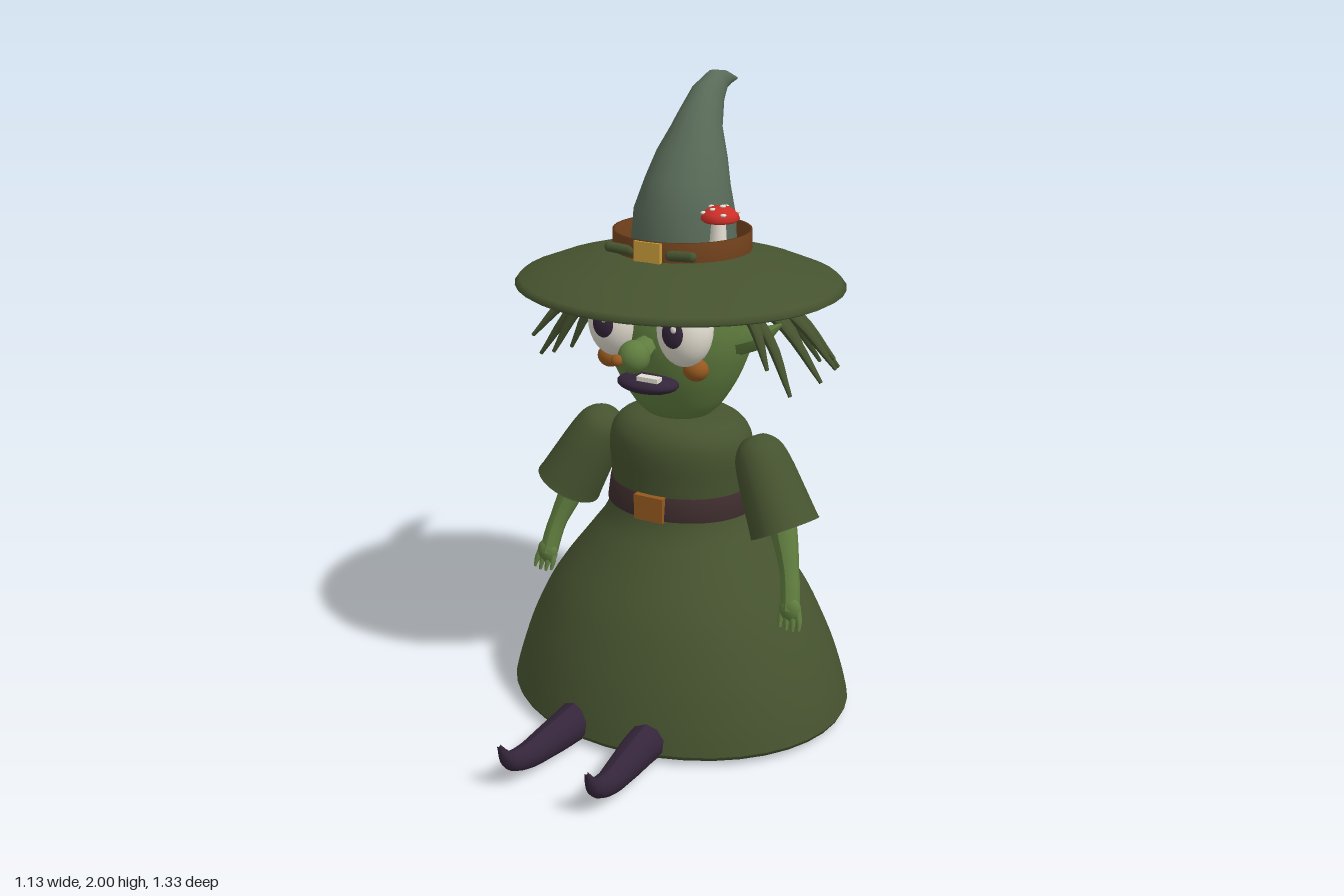
import * as THREE from 'three';

const mat = (name, color, side = THREE.FrontSide) => {
  const m = new THREE.MeshStandardMaterial({ color, side });
  m.name = name;
  return m;
};
const V = (x, y, z) => new THREE.Vector3(x, y, z);

// Lathe from [radius, height] pairs, listed from the bottom up
function lathe(profile, seg = 40, smooth = false) {
  let pts = profile.map(([r, y]) => new THREE.Vector2(r, y));
  if (smooth) pts = new THREE.SplineCurve(pts).getPoints(profile.length * 4);
  pts.forEach(p => { p.x = Math.max(p.x, 0); });
  return new THREE.LatheGeometry(pts, seg);
}

// Tube along a curve whose radius follows a list of values
function taper(points, radii, rows = 10, seg = 8) {
  const curve = new THREE.CatmullRomCurve3(points.map(p => V(...p)));
  const g = new THREE.TubeGeometry(curve, rows, 1, seg);
  const pos = g.attributes.position, v = V(0, 0, 0);
  for (let i = 0; i <= rows; i++) {
    const c = curve.getPointAt(i / rows);
    const t = (i / rows) * (radii.length - 1), k = Math.min(Math.floor(t), radii.length - 2);
    const r = THREE.MathUtils.lerp(radii[k], radii[k + 1], t - k);
    for (let j = 0; j <= seg; j++) {
      const n = i * (seg + 1) + j;
      v.fromBufferAttribute(pos, n).sub(c).multiplyScalar(r).add(c);
      pos.setXYZ(n, v.x, v.y, v.z);
    }
  }
  g.computeVertexNormals();
  return g;
}

// Loft through rings [front z, front y, back z, back y, half width]
function loft(rings, seg) {
  const pos = [], idx = [];
  rings.forEach(([fz, fy, bz, by, rx], i) => {
    for (let j = 0; j < seg; j++) {
      const a = j / seg * Math.PI * 2, s = Math.sin(a) / 2;
      pos.push(rx * Math.cos(a), (fy + by) / 2 + (by - fy) * s, (fz + bz) / 2 + (bz - fz) * s);
      if (i === rings.length - 1) continue;
      const p = i * seg + j, q = i * seg + (j + 1) % seg;
      idx.push(p, q, p + seg, q, q + seg, p + seg);
    }
  });
  const g = new THREE.BufferGeometry();
  g.setAttribute('position', new THREE.Float32BufferAttribute(pos, 3));
  g.setIndex(idx);
  g.computeVertexNormals();
  return g;
}

export function createModel() {
  const robe = mat('robeGreen', 0x46532f, THREE.DoubleSide);
  const skin = mat('skinGreen', 0x607d3f);
  const hatGrey = mat('hatGreyGreen', 0x586a58);
  const purple = mat('darkPurple', 0x34253a);
  const beltDark = mat('beltDark', 0x3f2d2e);
  const brown = mat('bandBrown', 0x74431d, THREE.DoubleSide);
  const amber = mat('amberBrown', 0x95581f);
  const gold = mat('gold', 0xc79a38);
  const red = mat('capRed', 0xcc2f28);
  const cream = mat('cream', 0xe2ddd0);

  const root = new THREE.Group();
  root.name = 'witch';
  const add = (name, geo, m, p = [0, 0, 0], s = [1, 1, 1], parent = root) => {
    const mesh = new THREE.Mesh(geo, m);
    mesh.name = name;
    mesh.position.set(...p);
    mesh.scale.set(...s);
    parent.add(mesh);
    return mesh;
  };
  const ball = new THREE.SphereGeometry(1, 24, 16);
  const box = new THREE.BoxGeometry(1, 1, 1);

  // Dress and belt
  add('dress', lathe([[0.485, 0.03], [0.465, 0.12], [0.425, 0.25], [0.36, 0.4], [0.265, 0.55], [0.215, 0.63],
    [0.193, 0.7], [0.195, 0.78], [0.2, 0.87], [0.187, 0.93], [0.145, 0.97], [0.06, 0.985], [0, 0.985]], 40, true),
    robe, [0, 0, -0.175], [1.165, 1, 1]);
  add('hem', lathe([[0, 0.012], [0.46, 0.012], [0.48, 0.018], [0.485, 0.031]], 40), robe, [0, 0, -0.175], [1.165, 1, 1]);
  add('belt', lathe([[0.19, 0.675], [0.206, 0.677], [0.198, 0.75], [0.185, 0.752]]), beltDark, [0, 0, -0.175], [1.165, 1, 1]);
  add('beltBuckle', box, amber, [0, 0.713, 0.02], [0.1, 0.08, 0.035]);

  // Head and face
  add('head', lathe([[0, 0.95], [0.075, 0.965], [0.13, 1.005], [0.175, 1.07], [0.21, 1.14], [0.235, 1.22],
    [0.24, 1.3], [0.222, 1.38], [0.17, 1.44], [0, 1.48]], 32, true), skin, [0, 0, -0.155], [1, 1, 0.87]);
  add('noseBridge', taper([[0, 1.25, 0], [0, 1.235, 0.07], [0, 1.225, 0.12]], [0.035, 0.035, 0.045]), skin);
  add('noseTip', ball, skin, [0, 1.225, 0.118], [0.048, 0.05, 0.048]);
  add('wart', ball, amber, [-0.03, 1.222, 0.165], [0.018, 0.018, 0.018]);
  add('mouth', ball, purple, [0, 1.122, 0.035], [0.1, 0.03, 0.068]);
  add('tooth', box, cream, [0.025, 1.148, 0.072], [0.07, 0.014, 0.03]);

  for (const s of [-1, 1]) {
    add('eye', ball, cream, [s * 0.118, 1.3, 0.022], [0.085, 0.112, 0.08]);
    add('pupil', ball, purple, [s * 0.117, 1.305, 0.098], [0.034, 0.043, 0.014]);
    add('eyeGlint', ball, cream, [s * 0.117 + 0.009, 1.322, 0.109], [0.009, 0.011, 0.005]);
    add('cheek', ball, amber, [s * 0.147, 1.178, 0.008], [0.04, 0.035, 0.034]);
    add('ear', taper([[s * 0.2, 1.23, -0.13], [s * 0.28, 1.26, -0.13], [s * 0.355, 1.31, -0.14]],
      [0.04, 0.034, 0.003]), skin);

    // Sleeve: a rounded shoulder flaring to an open cuff
    const sleeve = add('sleeve', lathe([[0.108, 0], [0.105, 0.02], [0.097, 0.1], [0.086, 0.2], [0.07, 0.26],
      [0.035, 0.295], [0, 0.3]], 24, true), robe, [s * 0.39, 0.67, -0.125], [1, 1, 1.1]);
    sleeve.rotation.set(-0.17, 0, s * 0.47);

    // Arm and fingers
    add('arm', taper([[s * 0.34, 0.76, -0.16], [s * 0.385, 0.64, -0.135], [s * 0.425, 0.52, -0.095],
      [s * 0.44, 0.43, -0.068]], [0.05, 0.042, 0.03, 0.03], 12, 10), skin);
    add('palm', ball, skin, [s * 0.441, 0.435, -0.066], [0.036, 0.042, 0.024]);
    for (let i = 0; i < 4; i++) {
      const d = i - 1.5;
      add('finger', taper([[s * (0.442 + d * 0.016), 0.44, -0.066], [s * (0.446 + d * 0.021), 0.4, -0.054],
        [s * (0.449 + d * 0.021), 0.368 + Math.abs(d) * 0.007, -0.046]], [0.011, 0.011, 0.005], 6, 6), skin);
    }

    // Pointed boot with a curled toe
    add('boot', taper([[s * 0.128, 0.058, 0.15], [s * 0.13, 0.058, 0.3], [s * 0.138, 0.056, 0.42], [s * 0.145, 0.06, 0.53],
      [s * 0.148, 0.087, 0.605], [s * 0.15, 0.162, 0.655]], [0.055, 0.062, 0.054, 0.044, 0.032, 0.005], 24, 10), purple);
  }

  // Hair strands fanning out from under the brim
  let seed = 7;
  const rnd = () => (seed = (seed * 16807) % 2147483647) / 2147483647;
  for (let i = 0; i < 27; i++) {
    const a = THREE.MathUtils.degToRad(-18 + 216 * i / 26), c = Math.cos(a), d = Math.sin(a);
    const r = 0.37 + rnd() * 0.15, y = 1.08 + rnd() * 0.12;
    add('hairStrand', taper([[c * 0.19, 1.4, -0.165 - d * 0.17], [c * (0.2 + r) / 2 + c * 0.02, (1.4 + y) / 2 + 0.02,
      -0.165 - d * (0.2 + r) / 2], [c * r, y, -0.165 - d * r]], [0.02, 0.018, 0.016, 0.006], 8, 7), robe);
  }

  // Hat: brim, bent cone, band, buckle and side loops
  add('hatBrim', lathe([[0, 1.43], [0.2, 1.425], [0.36, 1.4], [0.465, 1.376], [0.48, 1.385], [0.465, 1.402],
    [0.38, 1.437], [0.28, 1.467], [0.19, 1.49], [0, 1.5]]), robe, [0, 0.005, -0.16], [1.06, 1, 1]);
  add('hatCone', loft([[-0.025, 1.48, -0.34, 1.48, 0.165], [-0.035, 1.62, -0.342, 1.58, 0.155],
    [-0.08, 1.71, -0.332, 1.67, 0.13], [-0.13, 1.79, -0.336, 1.745, 0.108], [-0.21, 1.895, -0.347, 1.82, 0.07],
    [-0.285, 1.967, -0.378, 1.89, 0.05], [-0.365, 2.0, -0.42, 1.932, 0.034], [-0.44, 1.99, -0.468, 1.945, 0.02],
    [-0.525, 1.96, -0.523, 1.953, 0.003]], 16), hatGrey);
  add('hatBand', lathe([[0.203, 1.485], [0.211, 1.485], [0.211, 1.552], [0.203, 1.552], [0.203, 1.485]]), brown, [0, 0, -0.175]);
  add('hatBuckle', box, gold, [0, 1.52, 0.034], [0.088, 0.062, 0.018]);
  for (const s of [-1, 1]) {
    const loop = add('hatLoop', new THREE.CapsuleGeometry(0.016, 0.07, 4, 10), robe, [s * 0.102, 1.517, 0.022]);
    loop.rotation.z = Math.PI / 2 + s * 0.06;
  }

  // Spotted mushroom tucked behind the band
  const shroom = new THREE.Group();
  shroom.name = 'mushroom';
  shroom.position.set(0.16, 1.61, -0.11);
  root.add(shroom);
  add('mushroomStem', new THREE.CylinderGeometry(0.02, 0.028, 0.11, 12), cream, [-0.005, -0.05, 0], [1, 1, 1], shroom);
  add('mushroomCap', lathe([[0, -0.004], [0.05, -0.008], [0.059, 0], [0.052, 0.018], [0.03, 0.033], [0, 0.037]], 20),
    red, [0, 0, 0], [0.97, 1, 1.05], shroom);
  for (let i = 0; i < 8; i++) {
    const a = i * 2.4, r = i === 0 ? 0.008 : i % 2 ? 0.05 : 0.032;
    const y = r > 0.04 ? 0.019 : r > 0.02 ? 0.031 : 0.036;
    add('capSpot', ball, cream, [Math.cos(a) * r, y, Math.sin(a) * r], [0.009, 0.005, 0.009], shroom);
  }
  return root;
}
